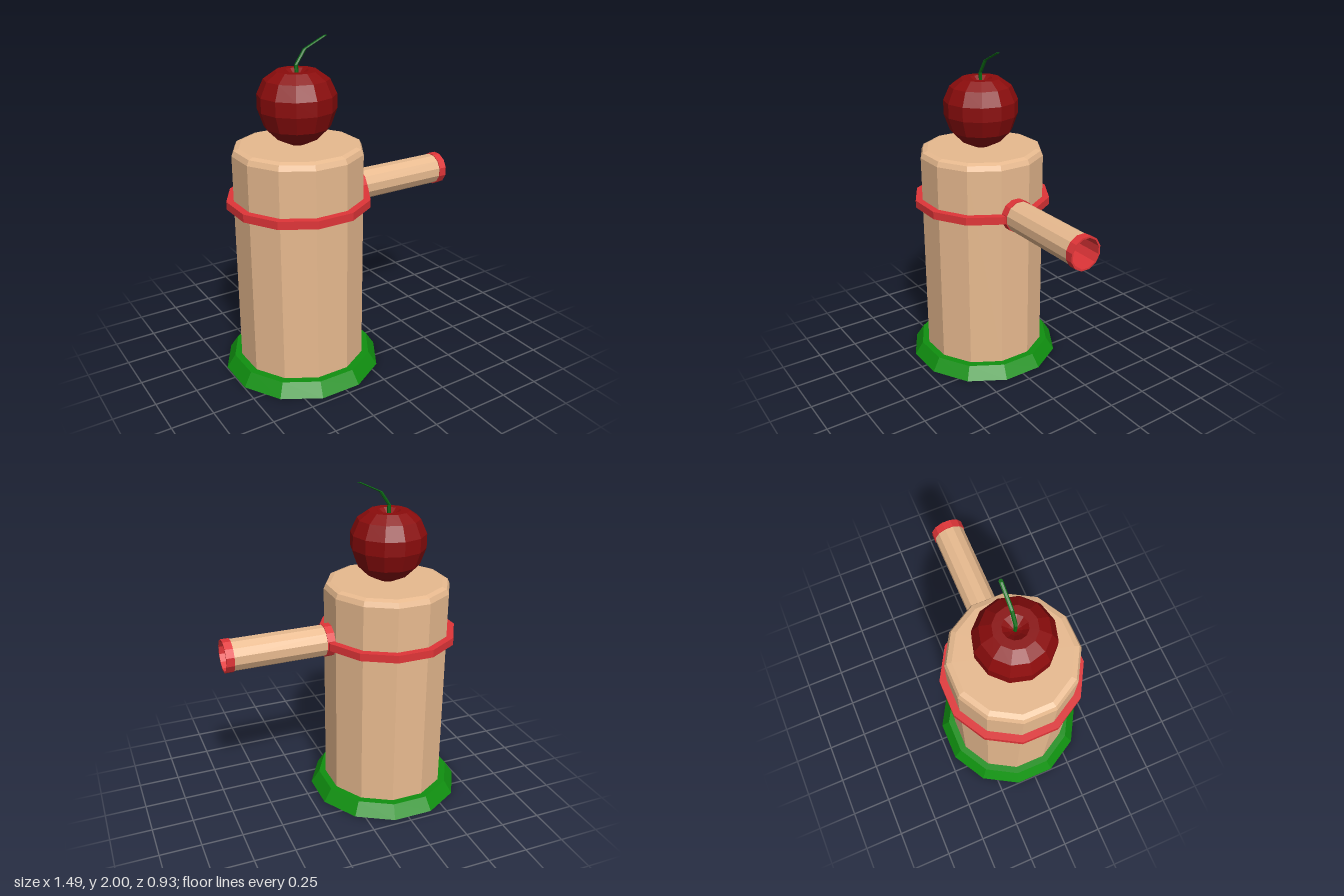
import * as THREE from 'three';

const SIDES = 12;
const CX = -0.283; // axis of the tower
const SPOUT_Y = 1.075;

const mat = (color) => new THREE.MeshStandardMaterial({ color, flatShading: true });
const TAN = mat(0xe8ba8f), RED = mat(0xe03538), GREEN = mat(0x109010);
const CHERRY = mat(0x8b0c0c), STEM = mat(0x0a6a14), BLACK = mat(0x111111);

// Twelve-sided turned part; profile is [radius, height] from bottom to top.
// With flats, radii are measured to the middle of each face.
function turned(name, profile, material, flats = true) {
  const k = flats ? 1 / Math.cos(Math.PI / SIDES) : 1;
  const points = profile.map(([r, y]) => new THREE.Vector2(r * k, y));
  const geometry = new THREE.LatheGeometry(points, SIDES, flats ? Math.PI / SIDES : 0);
  const mesh = new THREE.Mesh(geometry, material);
  mesh.name = name;
  return mesh;
}

// Closed band with a rectangular section
const band = (name, inner, outer, y0, y1, material) => turned(name,
  [[inner, y0], [outer, y0], [outer, y1], [inner, y1], [inner, y0]], material);

export function createModel() {
  const model = new THREE.Group();
  model.name = 'tower';

  // Upright parts around the tower axis
  const tower = new THREE.Group();
  tower.name = 'towerBody';
  tower.position.x = CX;
  tower.add(
    turned('base', [[0, 0], [0.463, 0], [0.412, 0.08], [0, 0.08]], GREEN),
    turned('body', [[0, 0.07], [0.37, 0.07], [0.37, 1.365], [0.357, 1.395], [0.328, 1.405], [0, 1.405]], TAN),
    band('bodyBand', 0.36, 0.412, 1.05, 1.097, RED),
    turned('cherry', [
      [0, 1.4], [0.05, 1.408], [0.125, 1.445], [0.19, 1.51], [0.225, 1.61], [0.225, 1.695],
      [0.186, 1.78], [0.12, 1.826], [0.07, 1.826], [0.035, 1.8], [0, 1.78],
    ], CHERRY, false),
  );

  // Stem: level cross-sections shifted sideways along a bent path
  const path = [[0, 1.77], [0, 1.857], [0.055, 1.937], [0.188, 2]];
  const stemGeometry = new THREE.CylinderGeometry(0.011, 0.011, 3, 6, 3);
  const pos = stemGeometry.attributes.position;
  for (let i = 0; i < pos.count; i++) {
    const [dx, y] = path[Math.round(pos.getY(i) + 1.5)];
    pos.setX(i, pos.getX(i) + dx);
    pos.setY(i, y);
  }
  stemGeometry.computeVertexNormals();
  const stem = new THREE.Mesh(stemGeometry, STEM);
  stem.name = 'stem';
  tower.add(stem);
  model.add(tower);

  // Hollow spout, turned upright then laid along +x
  const spout = new THREE.Group();
  spout.name = 'spout';
  spout.position.y = SPOUT_Y;
  spout.rotation.z = -Math.PI / 2;
  spout.add(
    turned('spoutTube', [[0.092, 0.06], [0.092, 0.72]], TAN),
    band('spoutInnerCollar', 0.087, 0.097, 0.087, 0.135, RED),
    band('spoutMouthCollar', 0.087, 0.097, 0.695, 0.743, RED),
    turned('spoutBore', [[0.087, 0.74], [0.087, 0.09]], RED),
    turned('spoutBoreEnd', [[0.088, 0.1], [0, 0.1]], BLACK),
  );
  model.add(spout);

  return model;
}
